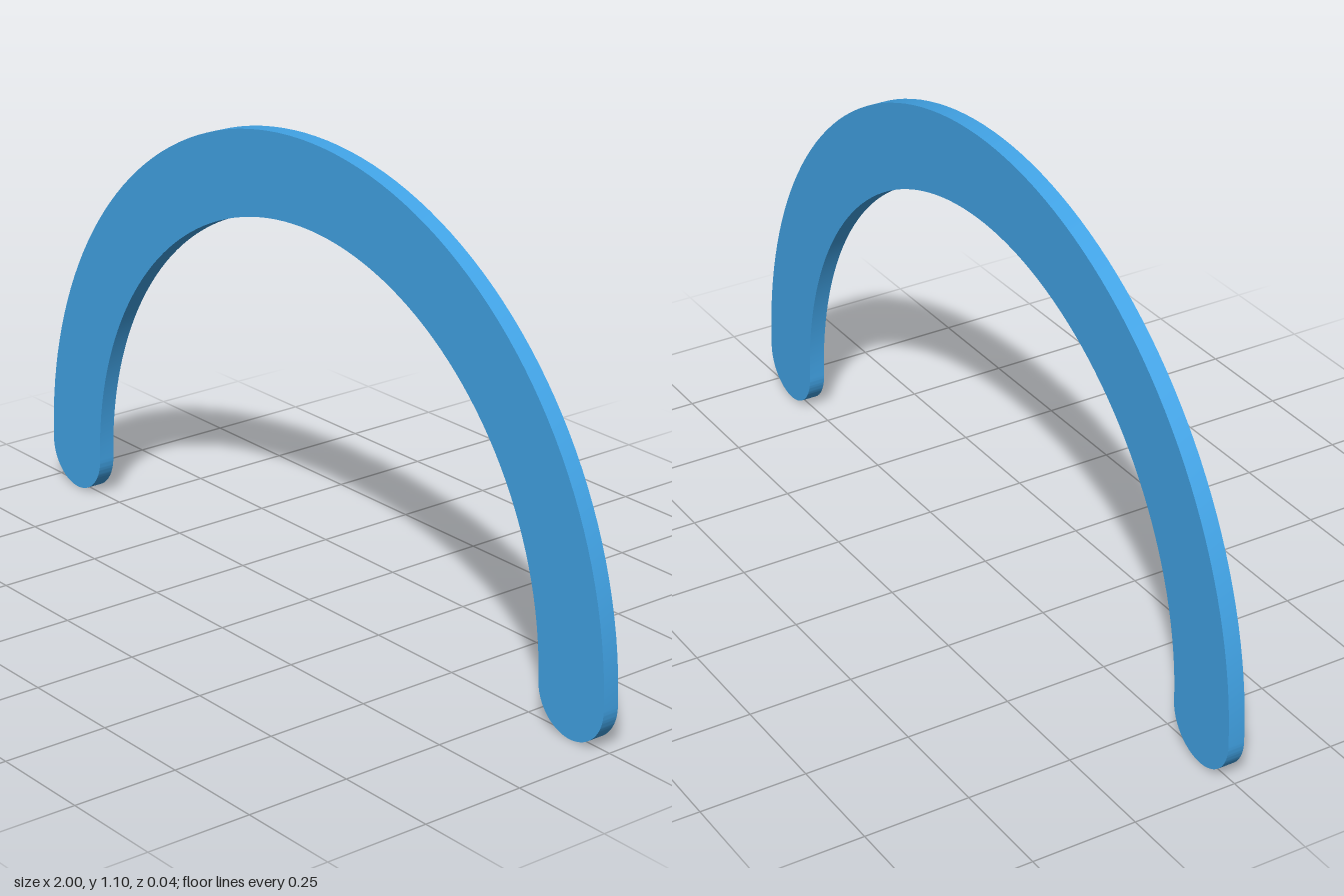
import * as THREE from 'three';
import { toCreasedNormals } from 'three/addons/utils/BufferGeometryUtils.js';

const OUTER = 1, INNER = 0.8, DEPTH = 0.04;
const CAP = (OUTER - INNER) / 2;
const MID = (OUTER + INNER) / 2;

export function createModel() {
  const group = new THREE.Group();
  group.name = 'archModel';

  // Half ring with rounded ends, resting on its two end caps
  const outline = new THREE.Shape();
  outline.absarc(0, CAP, OUTER, 0, Math.PI, false);
  outline.absarc(-MID, CAP, CAP, Math.PI, 2 * Math.PI, false);
  outline.absarc(0, CAP, INNER, Math.PI, 0, true);
  outline.absarc(MID, CAP, CAP, Math.PI, 2 * Math.PI, false);

  // Flat plate centred on z = 0, smooth rim and sharp face edges
  const plate = new THREE.ExtrudeGeometry(outline, { depth: DEPTH, bevelEnabled: false, curveSegments: 40 });
  plate.translate(0, 0, -DEPTH / 2);

  const arch = new THREE.Mesh(
    toCreasedNormals(plate, Math.PI / 6),
    new THREE.MeshStandardMaterial({ color: 0x42a5e8 })
  );
  arch.name = 'arch';
  group.add(arch);
  return group;
}
